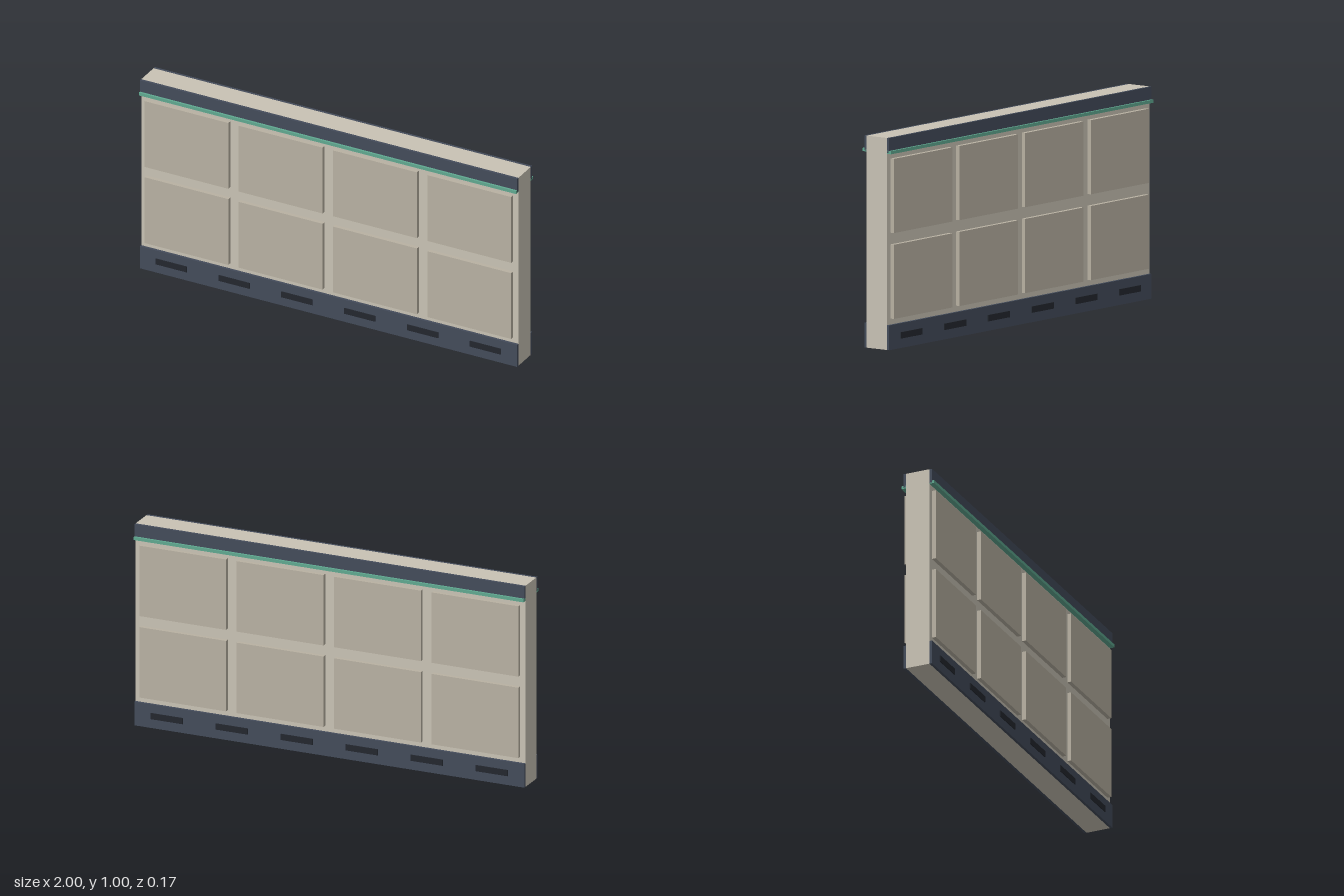
import * as THREE from 'three';

const material = (color) => new THREE.MeshStandardMaterial({ color });

export function createModel() {
  const wall = new THREE.Group();
  wall.name = 'wallSection';

  const stone = material(0xc8c2b4);
  const panelStone = material(0xb8b1a2);
  const navy = material(0x434b5a);
  const teal = material(0x5fa890);
  const dark = material(0x23272e);

  // Box given by its centre x, width, and y and z ranges
  function addBox(name, mat, x, width, y0, y1, z0, z1) {
    const mesh = new THREE.Mesh(new THREE.BoxGeometry(width, y1 - y0, z1 - z0), mat);
    mesh.position.set(x, (y0 + y1) / 2, (z0 + z1) / 2);
    mesh.name = name;
    return mesh;
  }

  // Solid core
  const half = 0.06;
  wall.add(addBox('core', stone, 0, 2, 0, 1, -half, half));

  // Both faces carry the same trim
  for (const side of [1, -1]) {
    const face = new THREE.Group();
    face.name = side > 0 ? 'frontFace' : 'backFace';
    if (side < 0) face.rotation.y = Math.PI;

    // Skirting, cap and accent strip
    face.add(addBox('baseBand', navy, 0, 2, 0, 0.117, half, 0.073));
    face.add(addBox('capBand', navy, 0, 2, 0.93, 1, half, 0.073));
    face.add(addBox('accentStrip', teal, 0, 2, 0.925, 0.94, half, 0.084));

    // Two rows of four raised panels
    for (const y of [0.145, 0.55]) {
      for (let i = 0; i < 4; i++) {
        face.add(addBox('panel', panelStone, -0.75 + i * 0.5, 0.445, y, y + 0.35, half, 0.08));
      }
    }

    // Vents along the skirting
    for (let i = 0; i < 6; i++) {
      face.add(addBox('vent', dark, (i - 2.5) / 3, 0.165, 0.045, 0.075, 0.07, 0.077));
    }
    wall.add(face);
  }
  return wall;
}
